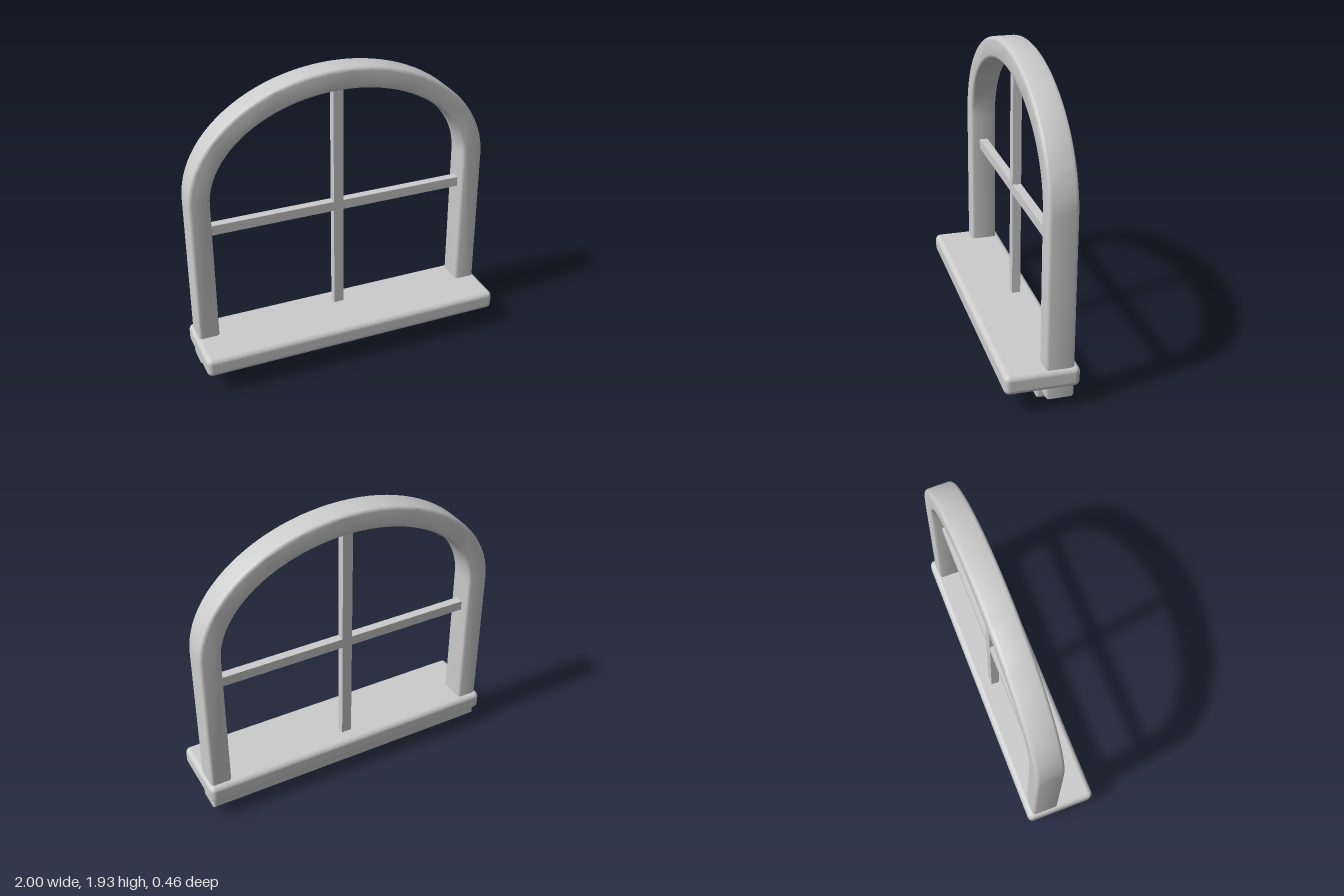
import * as THREE from 'three';
import { RoundedBoxGeometry } from 'three/addons/geometries/RoundedBoxGeometry.js';
import { toCreasedNormals } from 'three/addons/utils/BufferGeometryUtils.js';

// Traces a rectangle topped by a half ellipse
function archPath(path, halfWidth, bottom, spring, top) {
  path.moveTo(-halfWidth, bottom);
  path.lineTo(halfWidth, bottom);
  path.lineTo(halfWidth, spring);
  path.absellipse(0, spring, halfWidth, top - spring, 0, Math.PI, false, 0);
  path.closePath();
  return path;
}

export function createModel() {
  const group = new THREE.Group();
  const stone = new THREE.MeshStandardMaterial({ color: 0xcccccc });
  stone.name = 'paleGrey';

  function add(name, geometry, x = 0, y = 0, z = 0) {
    const mesh = new THREE.Mesh(geometry, stone);
    mesh.name = name;
    mesh.position.set(x, y, z);
    group.add(mesh);
  }

  // Arched frame with a bottom rail, softly bevelled all round
  const bevel = 0.02;
  const outline = archPath(new THREE.Shape(), 0.98, 0.07, 1.2, 1.935);
  outline.holes.push(archPath(new THREE.Path(), 0.845, 0.205, 1.2, 1.8));
  const frame = new THREE.ExtrudeGeometry(outline, {
    depth: 0.175 - 2 * bevel,
    bevelThickness: bevel,
    bevelSize: bevel,
    bevelOffset: -bevel,
    bevelSegments: 3,
    curveSegments: 24,
  });
  add('archedFrame', toCreasedNormals(frame, 0.6), 0, 0, -0.195 + bevel);

  // Glazing bars, ends set into the frame
  add('verticalBar', new THREE.BoxGeometry(0.066, 1.62, 0.055), -0.002, 1.0, -0.107);
  add('horizontalBar', new THREE.BoxGeometry(1.72, 0.064, 0.055), 0, 0.997, -0.107);

  // Sill and the apron beneath it
  add('sill', new RoundedBoxGeometry(2, 0.127, 0.455, 4, 0.035), 0, 0.202, 0);
  add('apron', new RoundedBoxGeometry(1.724, 0.14, 0.13, 4, 0.02), -0.002, 0.07, -0.065);

  return group;
}
